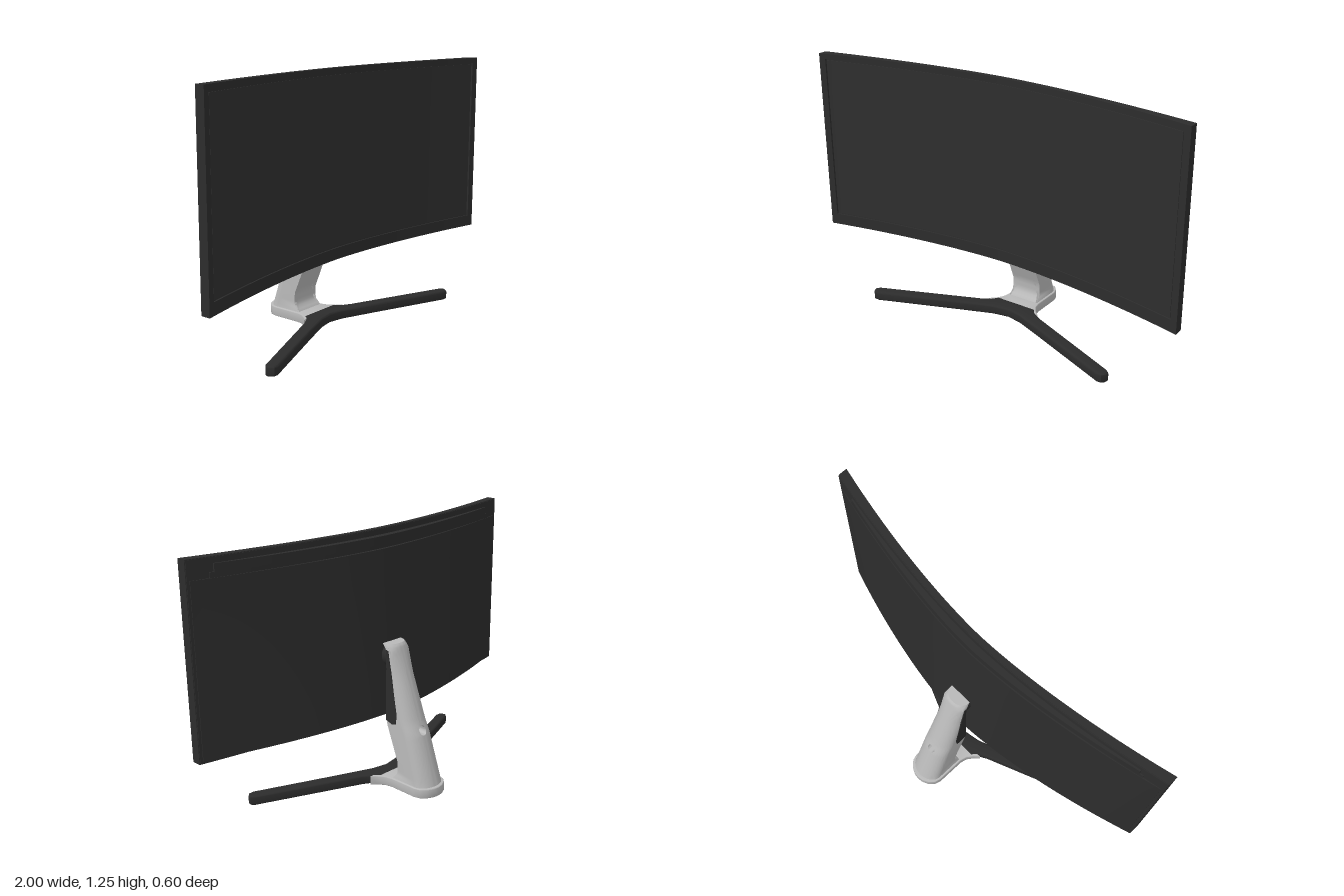
import * as THREE from 'three';
import { toCreasedNormals } from 'three/addons/utils/BufferGeometryUtils.js';

const mat = (name, color) => Object.assign(new THREE.MeshStandardMaterial({ color }), { name });

// Piecewise linear lookup through [key, value] pairs
function lookup(points, k) {
  if (k <= points[0][0]) return points[0][1];
  for (let i = 1; i < points.length; i++) {
    const [a, va] = points[i - 1], [b, vb] = points[i];
    if (k <= b) return va + (vb - va) * (k - a) / (b - a);
  }
  return points[points.length - 1][1];
}

// Screen curvature: front face, rear of the frame, and rear of the bulging shell
const bow = x => Math.pow(Math.abs(x), 1.7);
const frontZ = x => 0.11 + 0.14 * bow(x);
const frameZ = x => 0.08 + 0.12 * bow(x);
const bulge = (x, depth) => frameZ(x) - 0.002 - depth * (1 - Math.pow(Math.abs(x), 1.5));

// Box bent between two depth functions of x and y
function bentBlock(x0, x1, y0, y1, near, far) {
  const nx = Math.max(1, Math.round((x1 - x0) * 24));
  const g = new THREE.BoxGeometry(x1 - x0, y1 - y0, 1, nx, 6, 1);
  g.translate((x0 + x1) / 2, (y0 + y1) / 2, 0);
  const p = g.attributes.position;
  for (let i = 0; i < p.count; i++) {
    const x = p.getX(i), y = p.getY(i);
    p.setZ(i, p.getZ(i) > 0 ? near(x, y) : far(x, y));
  }
  g.computeVertexNormals();
  return g;
}

// Flat plate with softened edges from an [x, z] outline
function plate(outline, y0, y1, bevel) {
  const shape = new THREE.Shape(outline.map(([x, z]) => new THREE.Vector2(x, -z)));
  const g = new THREE.ExtrudeGeometry(shape, {
    depth: y1 - y0 - 2 * bevel, bevelThickness: bevel, bevelSize: bevel, bevelOffset: -bevel, bevelSegments: 3
  });
  g.rotateX(-Math.PI / 2).translate(0, y0 + bevel, 0);
  return toCreasedNormals(g, 0.7);
}

const mirrored = half => [...half, ...half.slice().reverse().filter(p => p[0] !== 0).map(([x, z]) => [-x, z])];

// Neck profiles by height
const neckTop = 0.72, holeY = 0.312, holeR = 0.022;
const neckWidth = y => lookup([[0, 0.09], [0.06, 0.082], [0.33, 0.077], [0.69, 0.067], [0.72, 0.06]], y);
const neckFront = y => lookup([[0, -0.06], [0.05, -0.08], [0.065, -0.1], [0.085, -0.11], [0.14, -0.108],
  [0.33, -0.03], [0.69, -0.02], [0.72, 0.01]], y);
const neckRear = y => lookup([[0, -0.298], [0.03, -0.295], [0.29, -0.21], [0.35, -0.182], [0.71, -0.055], [0.72, -0.045]], y);

// Neck: flat front, rounded rear, and a cable hole running through it
function neckGeometry() {
  const outline = [];
  const edge = (x0, y0, x1, y1, n) => {
    for (let i = 0; i < n; i++) outline.push([x0 + (x1 - x0) * i / n, y0 + (y1 - y0) * i / n]);
  };
  edge(-1, 0, 1, 0, 16);
  edge(1, 0, 1, neckTop, 30);
  edge(1, neckTop, -1, neckTop, 16);
  edge(-1, neckTop, -1, 0, 30);

  const steps = 20, cols = 2 * (steps + 1), pos = [], index = [];
  for (const [u, y1] of outline) {
    const x1 = u * neckWidth(y1), a = Math.atan2(y1 - holeY, x1);
    const hx = holeR * Math.cos(a), hy = holeY + holeR * Math.sin(a);
    for (let j = 0; j < cols; j++) {
      const rear = j <= steps;
      const t = rear ? 1 - j / steps : (j - steps - 1) / steps;
      const s = 1 - (1 - t) ** 2;
      const y = hy + (y1 - hy) * s;
      let x = hx + (x1 - hx) * s;
      const w = neckWidth(y), zf = neckFront(y), zb = neckRear(y);
      x = Math.max(-w, Math.min(w, x));
      const round = Math.min(0.065, 0.8 * (zf - zb));
      pos.push(x, y, rear ? zb + round * (1 - Math.sqrt(Math.max(0, 1 - (x / w) ** 2))) : zf);
    }
  }
  const n = outline.length;
  for (let i = 0; i < n; i++) for (let j = 0; j < cols; j++) {
    const i2 = (i + 1) % n, j2 = (j + 1) % cols;
    const a = i * cols + j, b = i * cols + j2, c = i2 * cols + j, d = i2 * cols + j2;
    index.push(a, b, c, b, d, c);
  }
  const g = new THREE.BufferGeometry();
  g.setAttribute('position', new THREE.Float32BufferAttribute(pos, 3));
  g.setIndex(index);
  return toCreasedNormals(g, 0.7);
}

// Dark wedge wrapped around the front of the neck
function insertGeometry() {
  const side = [[-0.02, 0.695], [-0.032, 0.69], [-0.097, 0.38], [-0.092, 0.335], [-0.07, 0.328], [-0.028, 0.342], [-0.024, 0.6]];
  const shape = new THREE.Shape(side.map(([z, y]) => new THREE.Vector2(z, y)));
  const g = new THREE.ExtrudeGeometry(shape, { depth: 2, bevelEnabled: false });
  g.translate(0, 0, -1).rotateY(-Math.PI / 2);
  const p = g.attributes.position;
  for (let i = 0; i < p.count; i++) p.setX(i, p.getX(i) * (neckWidth(p.getY(i)) + 0.003));
  g.computeVertexNormals();
  return g;
}

export function createModel() {
  const model = new THREE.Group();
  model.name = 'curvedMonitor';
  const casing = mat('casing black', 0x2c2c2c);
  const glass = mat('screen black', 0x2e2e2e);
  const silver = mat('stand silver', 0xb8b8b8);
  const add = (name, geometry, material, parent = model) => {
    const mesh = new THREE.Mesh(geometry, material);
    mesh.name = name;
    parent.add(mesh);
    return mesh;
  };

  // Display: frame, bezel bars, screen and rear shell
  const display = new THREE.Group();
  display.name = 'display';
  model.add(display);
  const recess = x => frontZ(x) - 0.008;
  add('frame', bentBlock(-0.997, 0.997, 0.343, 1.252, recess, frameZ), casing, display);
  const bars = [[-1, 1, 0.34, 0.397], [-1, 1, 1.228, 1.255], [-1, -0.968, 0.397, 1.228], [0.968, 1, 0.397, 1.228]];
  for (const [x0, x1, y0, y1] of bars)
    add('bezel', bentBlock(x0, x1, y0, y1, frontZ, x => frameZ(x) + 0.003), casing, display);
  add('screen', bentBlock(-0.962, 0.962, 0.403, 1.222, x => recess(x) + 0.004, x => recess(x) - 0.002), glass, display);

  const shellDepth = y => lookup([[0.355, 0.08], [1.165, 0.03]], y);
  add('rearShell', bentBlock(-0.985, 0.985, 0.355, 1.165, x => frameZ(x) + 0.01,
    (x, y) => bulge(x, shellDepth(y))), casing, display);
  add('ventGroove', bentBlock(-0.9, 0.9, 1.16, 1.19, x => frameZ(x) + 0.01, x => bulge(x, 0.017)), casing, display);
  add('ventRidge', bentBlock(-0.88, 0.88, 1.186, 1.226, x => frameZ(x) + 0.01, x => bulge(x, 0.031)), casing, display);

  // Stand: neck, front insert, mount, foot and splayed legs
  const stand = new THREE.Group();
  stand.name = 'stand';
  model.add(stand);
  add('neck', neckGeometry(), silver, stand);
  add('neckInsert', insertGeometry(), casing, stand);
  const mount = add('mount', new THREE.CylinderGeometry(0.06, 0.06, 0.06, 32), casing, stand);
  mount.rotation.x = Math.PI / 2;
  mount.position.set(0, 0.652, 0.004);

  const foot = [[0, -0.306], [0.03, -0.302], [0.062, -0.286], [0.085, -0.26], [0.094, -0.23], [0.094, -0.08],
    [0.102, -0.045], [0.125, -0.012], [0.15, 0.012], [0, 0.0]];
  add('foot', plate(mirrored(foot), 0, 0.048, 0.004), silver, stand);
  const legs = [[0, 0.055], [0.08, 0.07], [0.235, 0.13], [0.655, 0.298], [0.68, 0.297], [0.695, 0.28], [0.697, 0.262],
    [0.68, 0.246], [0.18, 0.038], [0.135, 0.012], [0.11, -0.02], [0, -0.02]];
  add('legs', plate(mirrored(legs), 0.002, 0.05, 0.009), casing, stand);
  return model;
}
